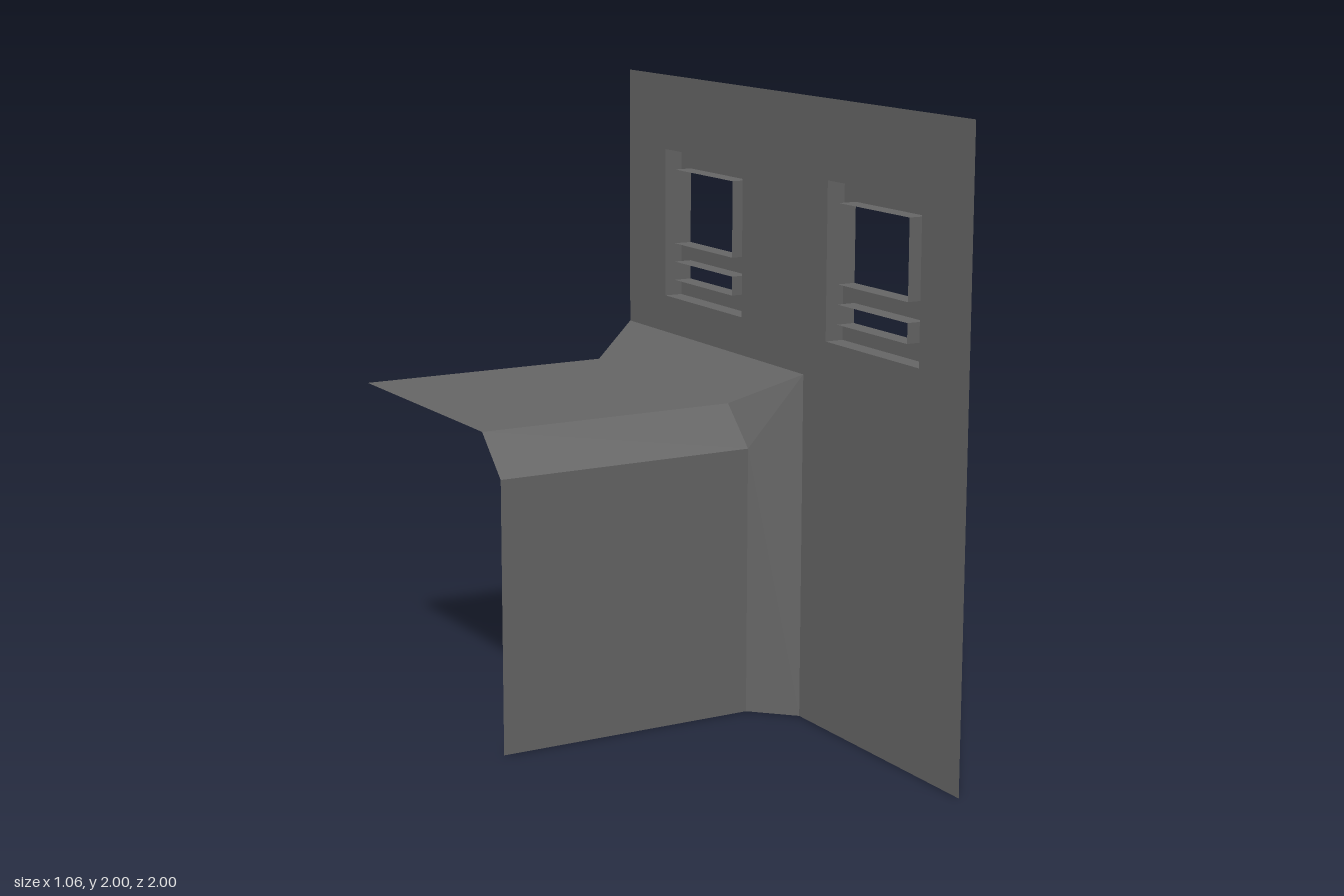
import * as THREE from 'three';

// Key planes: outer end of the slab, its inner edge, the wall, the window fronts
const END = -0.531, EDGE = 0.344, WALL = 0.469, FACE = 0.531;

export function createModel() {
  const model = new THREE.Group();
  const grey = new THREE.MeshStandardMaterial({ color: 0x666666, side: THREE.DoubleSide });
  grey.name = 'grey';

  function add(parent, name, geometry) {
    const mesh = new THREE.Mesh(geometry, grey);
    mesh.name = name;
    parent.add(mesh);
    return mesh;
  }

  // Flat convex polygons, each given by its corners, with hard edges between them
  function faces(...polygons) {
    const pos = [];
    for (const p of polygons)
      for (let i = 1; i < p.length - 1; i++) pos.push(...p[0], ...p[i], ...p[i + 1]);
    const g = new THREE.BufferGeometry();
    g.setAttribute('position', new THREE.Float32BufferAttribute(pos, 3));
    g.computeVertexNormals();
    return g;
  }

  // Corners of a rectangle in the z-y plane
  const rect = (z0, z1, y0, y1) => [[z0, y0], [z1, y0], [z1, y1], [z0, y1]];

  // Upright sheet at a given x, outlined in (z, y), with optional openings
  function sheet(x, outline, openings) {
    const toPoints = (pts) => pts.map(([z, y]) => new THREE.Vector2(-z, y));
    const shape = new THREE.Shape(toPoints(outline));
    for (const o of openings) shape.holes.push(new THREE.Path(toPoints(o)));
    return new THREE.ShapeGeometry(shape).rotateY(Math.PI / 2).translate(x, 0, 0);
  }

  // Open sleeve running from the wall to the window front
  function sleeve(loop) {
    return faces(...loop.map(([z, y], i) => {
      const [z2, y2] = loop[(i + 1) % loop.length];
      return [[WALL, y, z], [WALL, y2, z2], [FACE, y2, z2], [FACE, y, z]];
    }));
  }

  // L-shaped wall with two square openings
  const windowCentres = [0.5, -0.5];
  const squares = windowCentres.map((z) => rect(z - 0.25, z + 0.25, 1.25, 1.75));
  add(model, 'wall', sheet(WALL,
    [[1, 0], [1, 2], [-1, 2], [-1, 1.125], [0.125, 1.125], [0.125, 0]], squares));

  // Slab, front panel and the bevel between them
  add(model, 'topSlab', faces(
    [[END, 1, -1], [END, 1, -0.125], [EDGE, 1, -0.125], [EDGE, 1, -1]]));
  add(model, 'frontBevel', faces(
    [[END, 1, -0.125], [END, 0.875, 0], [EDGE, 0.875, 0], [EDGE, 1, -0.125]]));
  add(model, 'frontPanel', faces(
    [[END, 0.875, 0], [END, 0, 0], [EDGE, 0, 0], [EDGE, 0.875, 0]]));

  // Bevels joining the slab and the panel to the wall
  add(model, 'upperWallBevel', faces(
    [[EDGE, 1, -1], [EDGE, 1, -0.125], [WALL, 1.125, 0.125], [WALL, 1.125, -1]]));
  add(model, 'sideWallBevel', faces(
    [[EDGE, 0.875, 0], [EDGE, 0, 0], [WALL, 0, 0.125], [WALL, 1.125, 0.125]]));
  add(model, 'cornerBevel', faces(
    [[EDGE, 1, -0.125], [EDGE, 0.875, 0], [WALL, 1.125, 0.125]]));

  // Hollow window frames, open at the back, with a crossbar between two openings
  windowCentres.forEach((z, i) => {
    const frame = new THREE.Group();
    frame.name = i === 0 ? 'frontWindow' : 'rearWindow';
    const openings = [
      rect(z - 0.1875, z + 0.1875, 1.4375, 1.6875),
      rect(z - 0.1875, z + 0.1875, 1.3125, 1.375),
    ];
    add(frame, 'frameFace', sheet(FACE, squares[i], openings));
    add(frame, 'frameSides', sleeve(squares[i].slice().reverse()));
    openings.forEach((o, k) => add(frame, k ? 'lowerReveal' : 'upperReveal', sleeve(o)));
    model.add(frame);
  });

  return model;
}
